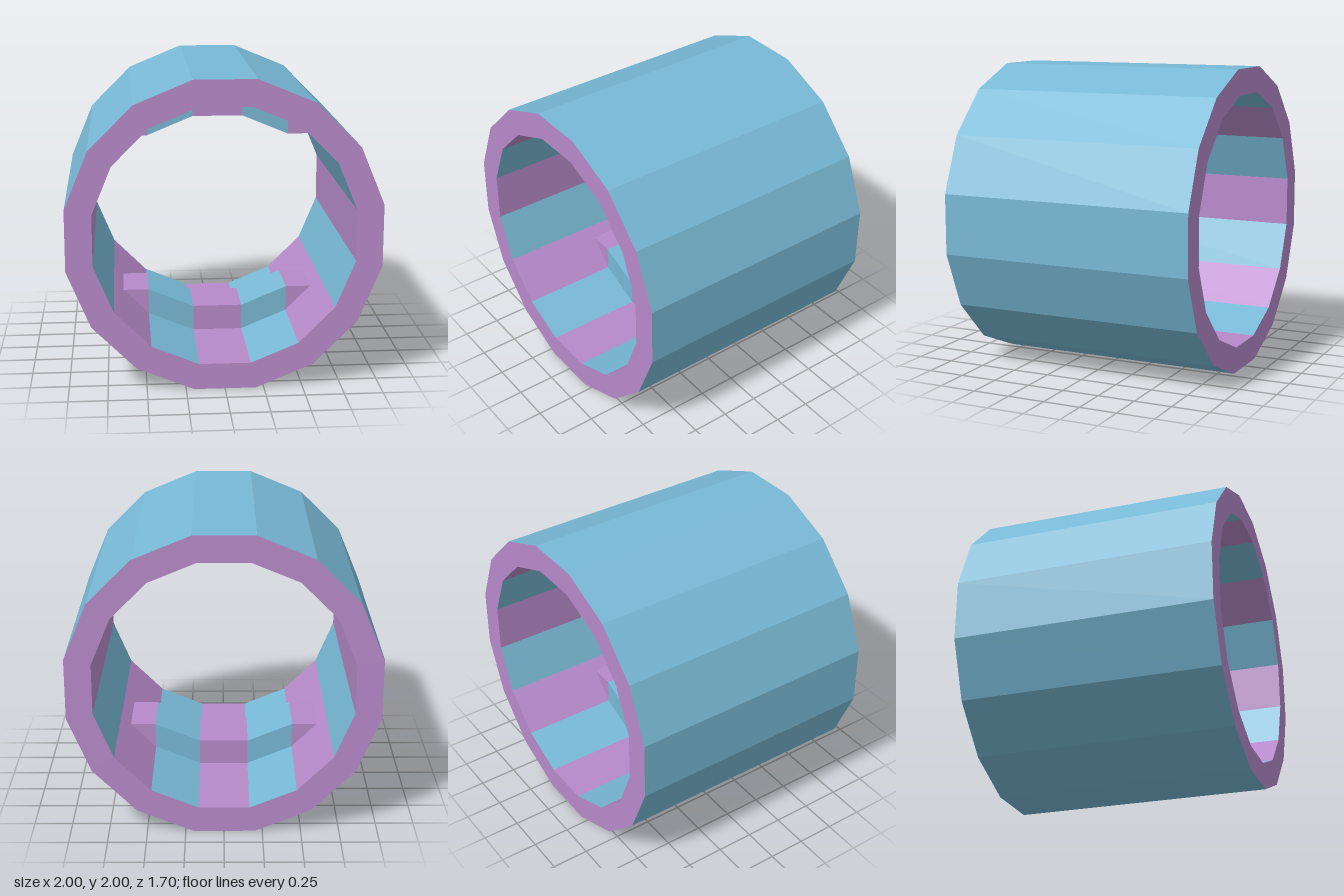
import * as THREE from 'three';

const SIDES = 16, STEP = Math.PI * 2 / SIDES;
const LENGTH = 1.7, INNER = 0.83, BLOCK_DEPTH = 0.38, BLOCK_HEIGHT = 0.17;
const OUTER_R = 1 / Math.cos(STEP / 2), INNER_R = INNER / Math.cos(STEP / 2);

export function createModel() {
  const blue = new THREE.MeshStandardMaterial({ color: 0x78b9d6 });
  blue.name = 'blue';
  const purple = new THREE.MeshStandardMaterial({ color: 0xb78aca });
  purple.name = 'purple';

  const model = new THREE.Group();
  model.name = 'facetedTube';
  const body = new THREE.Group();
  body.position.y = 1;
  model.add(body);

  const add = (name, geometry, material, parent = body) => {
    const mesh = new THREE.Mesh(geometry, material);
    mesh.name = name;
    parent.add(mesh);
    return mesh;
  };

  // Outer shell with flat facets
  const shell = new THREE.CylinderGeometry(OUTER_R, OUTER_R, LENGTH, SIDES, 1, true, STEP / 2)
    .rotateX(Math.PI / 2).toNonIndexed();
  shell.computeVertexNormals();
  add('outerShell', shell, blue);

  // End rims
  const rim = new THREE.RingGeometry(INNER_R, OUTER_R, SIDES, 1, STEP / 2);
  add('frontRim', rim, purple).position.z = LENGTH / 2;
  const back = add('backRim', rim, purple);
  back.position.z = -LENGTH / 2;
  back.rotation.y = Math.PI;

  // Inner wall panels in alternating colours, facing the axis
  const panel = new THREE.PlaneGeometry(2 * INNER * Math.tan(STEP / 2), LENGTH)
    .rotateX(-Math.PI / 2).translate(0, -INNER, 0);
  for (let i = 0; i < SIDES; i++) {
    add('innerPanel', panel, i % 2 ? blue : purple).rotation.z = i * STEP;
  }

  // Raised steps at the bottom and top of the bore
  const corner = k => [INNER_R * Math.sin(STEP * (k + 0.5)), -INNER_R * Math.cos(STEP * (k + 0.5))];
  const raise = ([x, y]) => [x, y + BLOCK_HEIGHT];
  const a = corner(-1), b = corner(0), c = corner(1), d = corner(2);
  const t = BLOCK_HEIGHT / (d[1] - c[1]);
  const tip = [c[0] + (d[0] - c[0]) * t, c[1] + BLOCK_HEIGHT];
  const middle = [a, b, raise(b), raise(a)];
  const slope = [b, c, raise(c), raise(b)];
  const end = [c, tip, raise(c)];

  for (const sy of [1, -1]) {
    const step = new THREE.Group();
    step.name = sy > 0 ? 'lowerStep' : 'upperStep';
    body.add(step);
    const piece = (name, points, sx, material) => {
      const shape = new THREE.Shape(points.map(([x, y]) => new THREE.Vector2(x * sx, y * sy)));
      const geometry = new THREE.ExtrudeGeometry(shape, { depth: BLOCK_DEPTH, bevelEnabled: false });
      add(name, geometry.translate(0, 0, -BLOCK_DEPTH / 2), material, step);
    };
    piece('stepMiddle', middle, 1, purple);
    for (const sx of [1, -1]) {
      piece('stepSlope', slope, sx, blue);
      piece('stepEnd', end, sx, purple);
    }
  }
  return model;
}
